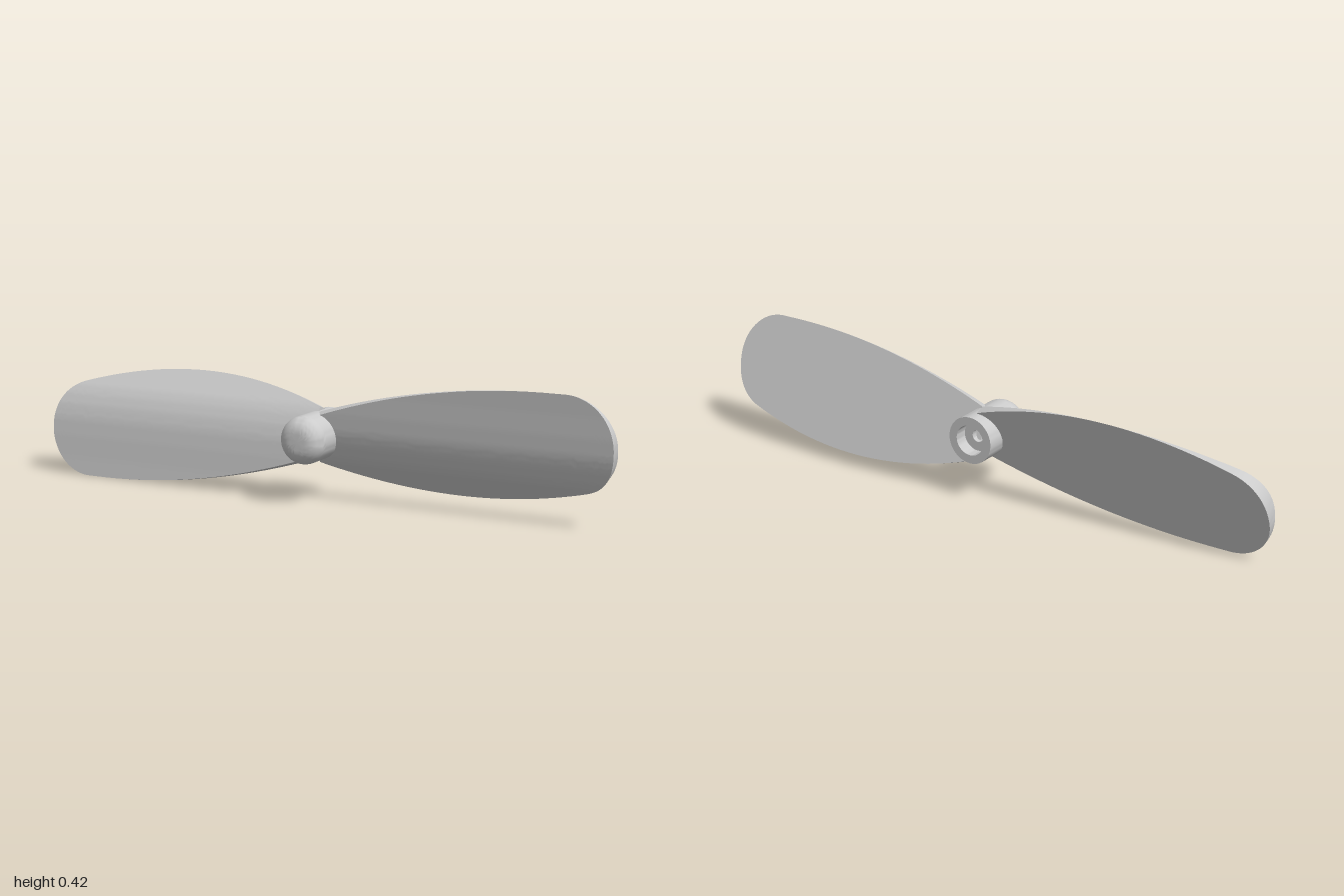
import * as THREE from 'three';
import { toCreasedNormals } from 'three/addons/utils/BufferGeometryUtils.js';

const AXIS_Y = 0.21;
const material = new THREE.MeshStandardMaterial({ color: 0xcccccc });

// Airfoil thickness (second value) at a distance along the chord (first value)
const AIRFOIL = [[0, 0], [0.09, 0.0355], [0.12, 0.0425], [0.157, 0.0458], [0.19, 0.0445],
  [0.214, 0.0413], [0.266, 0.0302], [0.33, 0.014], [0.391, 0]];

function thickness(u) {
  for (let i = 1; i < AIRFOIL.length; i++) {
    const [u0, w0] = AIRFOIL[i - 1], [u1, w1] = AIRFOIL[i];
    if (u <= u1) return w0 + (w1 - w0) * (u - u0) / (u1 - u0);
  }
  return 0;
}

// Blade outline: lower and upper edge at span x, rounded off to a point at x = 1
const TIP_U = 0.235;
const round = (t) => Math.sqrt(Math.max(0, 1 - t * t));

function lowerEdge(x) {
  if (x < 0.9) return 0.4 * (x - 0.47) ** 2;
  const t = (x - 0.9) / 0.1;
  return TIP_U - 0.161 * round(t) + 0.034 * t * (1 - t);
}

function upperEdge(x) {
  if (x < 0.85) return 0.391 - 0.219 * (0.8 - x) ** 2;
  return TIP_U + 0.156 * round((x - 0.85) / 0.15);
}

// Flat-backed, pitched blade lofted along x from closed cross-sections
function bladeGeometry() {
  const across = 32, stations = [];
  for (let i = 0; i < 24; i++) stations.push(0.85 * i / 24);
  for (let i = 0; i <= 20; i++) stations.push(0.85 + 0.15 * Math.sin(i / 20 * Math.PI / 2));

  const positions = [], indices = [], ring = 2 * (across + 1);
  const add = (x, u, w) => positions.push(x, -0.163 + 0.949 * u - 0.317 * w, -0.103 + 0.317 * u + 0.949 * w);
  for (const x of stations) {
    const lo = lowerEdge(x), hi = upperEdge(x);
    const at = (j) => lo + (hi - lo) * j / across;
    for (let j = 0; j <= across; j++) add(x, at(j), thickness(at(j)));
    for (let j = across; j >= 0; j--) add(x, at(j), 0);
  }
  for (let i = 0; i < stations.length - 1; i++) {
    for (let j = 0; j < ring; j++) {
      const a = i * ring + j, b = i * ring + (j + 1) % ring;
      indices.push(a, a + ring, b, b, a + ring, b + ring);
    }
  }
  // Root cap
  for (let j = 1; j < ring - 1; j++) indices.push(0, j, j + 1);

  const geometry = new THREE.BufferGeometry();
  geometry.setAttribute('position', new THREE.Float32BufferAttribute(positions, 3));
  geometry.setIndex(indices);
  return toCreasedNormals(geometry, 0.4);
}

// Hub with a rounded nose, a recess at the back and a shaft hole
function hubGeometry() {
  const points = [[0, 0], [0.02, 0], [0.02, -0.07], [0.05, -0.07], [0.05, -0.115], [0.0775, -0.115]]
    .map(([r, z]) => new THREE.Vector2(r, z));
  for (let i = 0; i <= 10; i++) {
    const a = i / 10 * Math.PI / 2;
    points.push(new THREE.Vector2(0.0255 + 0.052 * Math.cos(a), 0.063 + 0.052 * Math.sin(a)));
  }
  points.push(new THREE.Vector2(0, 0.115));
  const geometry = new THREE.LatheGeometry(points, 48);
  geometry.rotateX(Math.PI / 2);
  return toCreasedNormals(geometry, 0.5);
}

export function createModel() {
  const propeller = new THREE.Group();
  propeller.name = 'propeller';

  const hub = new THREE.Mesh(hubGeometry(), material);
  hub.name = 'hub';
  hub.position.y = AXIS_Y;
  propeller.add(hub);

  // Two blades, half a turn apart
  const geometry = bladeGeometry();
  ['leftBlade', 'rightBlade'].forEach((name, i) => {
    const blade = new THREE.Mesh(geometry, material);
    blade.name = name;
    blade.position.y = AXIS_Y;
    blade.rotation.z = i * Math.PI;
    propeller.add(blade);
  });
  return propeller;
}
